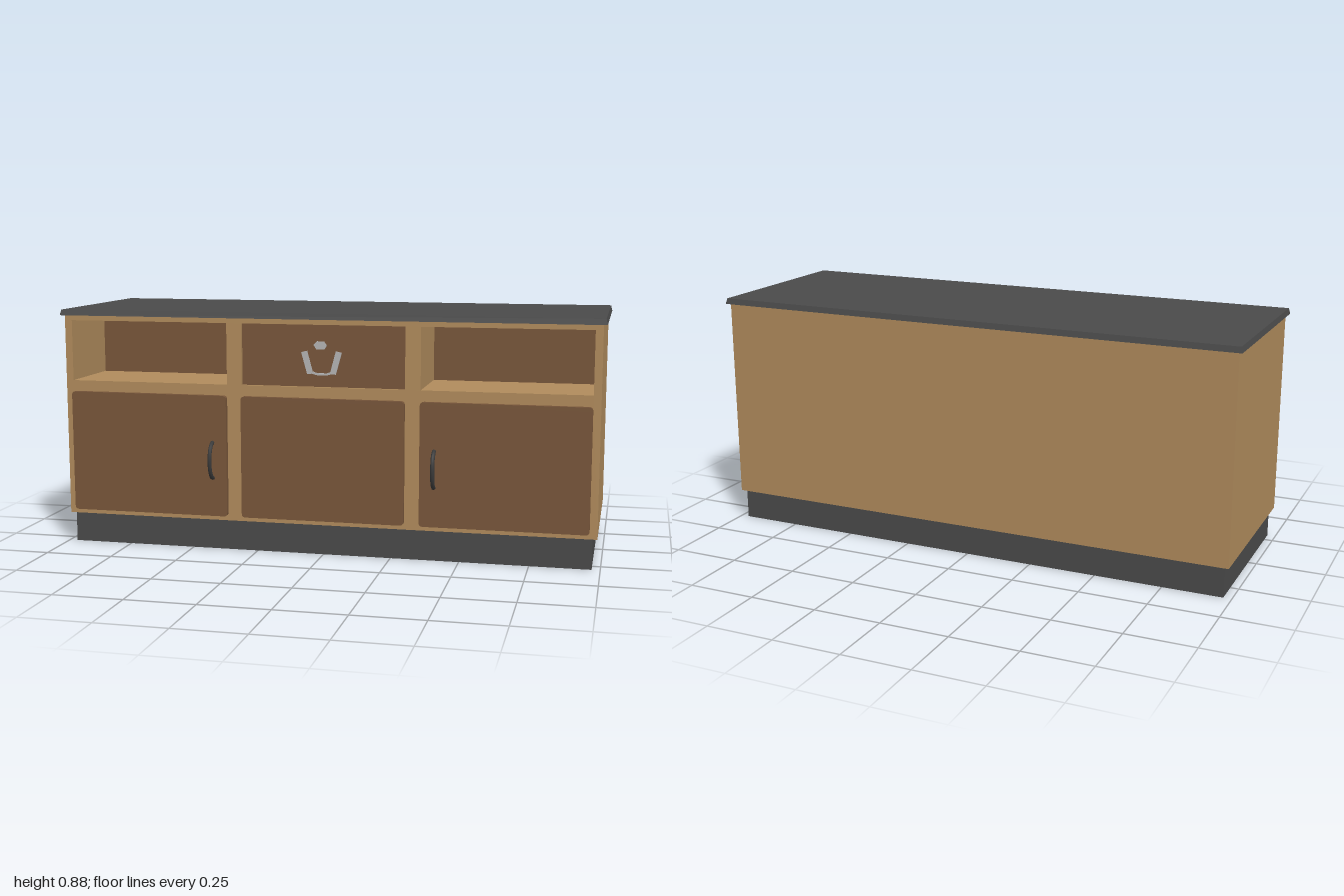
import * as THREE from 'three';

const mat = (name, color, side = THREE.FrontSide) => {
  const m = new THREE.MeshStandardMaterial({ color, side });
  m.name = name;
  return m;
};

// Rectangle outline with optionally rounded corners
function roundedRect(target, x0, y0, x1, y1, r) {
  target.moveTo(x0 + r, y0);
  target.lineTo(x1 - r, y0);
  target.quadraticCurveTo(x1, y0, x1, y0 + r);
  target.lineTo(x1, y1 - r);
  target.quadraticCurveTo(x1, y1, x1 - r, y1);
  target.lineTo(x0 + r, y1);
  target.quadraticCurveTo(x0, y1, x0, y1 - r);
  target.lineTo(x0, y0 + r);
  target.quadraticCurveTo(x0, y0, x0 + r, y0);
  return target;
}

function rect(target, x0, y0, x1, y1) {
  target.moveTo(x0, y0);
  target.lineTo(x1, y0);
  target.lineTo(x1, y1);
  target.lineTo(x0, y1);
  target.closePath();
  return target;
}

export function createModel() {
  const group = new THREE.Group();
  const oak = mat('oak', 0xb08b5c);
  const walnut = mat('walnut', 0x78563a);
  const slate = mat('slate', 0x4a4a4a);
  const iron = mat('iron', 0x3a3a3a);
  const silver = mat('silver', 0xb4b4b4);

  const add = (name, geometry, material) => {
    const mesh = new THREE.Mesh(geometry, material);
    mesh.name = name;
    group.add(mesh);
    return mesh;
  };
  const box = (name, material, x0, x1, y0, y1, z0, z1) =>
    add(name, new THREE.BoxGeometry(x1 - x0, y1 - y0, z1 - z0), material)
      .position.set((x0 + x1) / 2, (y0 + y1) / 2, (z0 + z1) / 2);

  // Recessed plinth
  box('plinth', slate, -0.97, 0.97, 0, 0.112, -0.343, 0.298);

  // Carcass: solid rear and lower part, with a front frame around three openings
  const bays = [[-0.96, -0.358], [-0.302, 0.302], [0.358, 0.96]];
  const openY = [0.62, 0.845];
  box('carcassBack', oak, -0.987, 0.987, 0.112, 0.864, -0.355, 0);
  const frame = rect(new THREE.Shape(), -0.987, 0.112, 0.987, 0.864);
  for (const [x0, x1] of bays) frame.holes.push(rect(new THREE.Path(), x0, openY[0], x1, openY[1]));
  add('carcassFront', new THREE.ExtrudeGeometry(frame, { depth: 0.31, bevelEnabled: false }), oak);

  // Open shelves at the sides, shallow drawer front in the middle
  bays.forEach(([x0, x1], i) => {
    if (i === 1) box('drawerFront', walnut, x0, x1, ...openY, 0.27, 0.297);
    else box('shelfBack', walnut, x0, x1, ...openY, 0, 0.005);
  });

  // Door panels with softly rounded corners
  for (const [x0, x1] of bays) {
    const shape = roundedRect(new THREE.Shape(), x0, 0.13, x1, 0.58, 0.014);
    add('door', new THREE.ExtrudeGeometry(shape, { depth: 0.019, bevelEnabled: false, curveSegments: 4 }), walnut)
      .position.z = 0.309;
  }

  // Bowed door handles
  const bow = [];
  for (let i = 0; i <= 12; i++) {
    const a = -Math.PI / 2 + (Math.PI * i) / 12;
    bow.push(new THREE.Vector3(0, 0.34 + 0.066 * Math.sin(a), 0.326 + 0.04 * Math.cos(a)));
  }
  const handleGeometry = new THREE.TubeGeometry(new THREE.CatmullRomCurve3(bow), 24, 0.0075, 8);
  for (const side of [-1, 1]) add('doorHandle', handleGeometry, iron).position.x = side * 0.411;

  // Flat drawer ornament: two slanted bars, a thin curved link and a top plate
  const plate = (name, points) => {
    const shape = new THREE.Shape(points.map(([x, y]) => new THREE.Vector2(x, y)));
    add(name, new THREE.ExtrudeGeometry(shape, { depth: 0.004, bevelEnabled: false }), silver).position.z = 0.297;
  };
  for (const s of [-1, 1]) {
    plate('ornamentBar', [[-0.058, 0.666], [-0.036, 0.668], [-0.058, 0.75], [-0.08, 0.745]]
      .map(([x, y]) => [-0.005 - s * (x + 0.005), y]));
  }
  plate('ornamentLink', [[-0.042, 0.668], [-0.02, 0.662], [0.014, 0.662], [0.034, 0.668],
    [0.034, 0.677], [0.014, 0.67], [-0.02, 0.67], [-0.042, 0.677]]);
  plate('ornamentTop', [[-0.024, 0.756], [0.006, 0.756], [0.015, 0.77], [0.004, 0.785],
    [-0.022, 0.785], [-0.034, 0.772]]);

  // Worktop tapering slightly towards its upper face
  const top = new THREE.BoxGeometry(2, 0.021, 0.697);
  const p = top.attributes.position;
  for (let i = 0; i < p.count; i++) {
    if (p.getY(i) > 0) {
      p.setX(i, p.getX(i) - Math.sign(p.getX(i)) * 0.005);
      p.setZ(i, p.getZ(i) - Math.sign(p.getZ(i)) * 0.005);
    }
  }
  top.computeVertexNormals();
  add('worktop', top, slate).position.set(0, 0.8745, -0.0215);

  return group;
}
